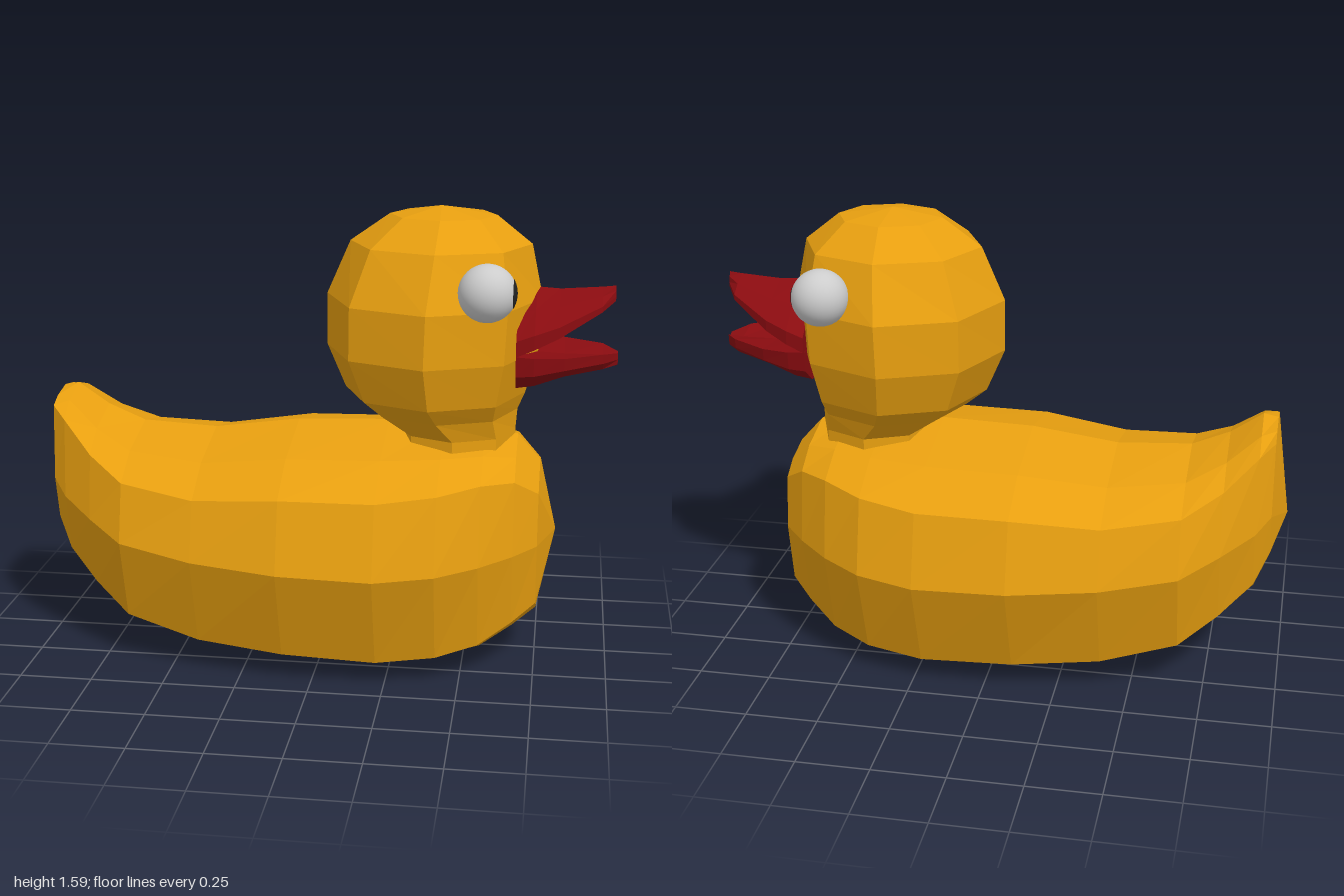
import * as THREE from 'three';

const yellow = new THREE.MeshStandardMaterial({ color: 0xeaa110 });
yellow.name = 'duck yellow';
const red = new THREE.MeshStandardMaterial({ color: 0x8a0c10 });
red.name = 'beak red';
const white = new THREE.MeshStandardMaterial({ color: 0xcccccc });
white.name = 'eye white';
const black = new THREE.MeshStandardMaterial({ color: 0x222222 });
black.name = 'pupil black';

// Faceted skin over closed rings of points, with both ends closed
function loft(rings) {
  const pos = [];
  const tri = (a, b, c) => {
    const area = b.clone().sub(a).cross(c.clone().sub(a)).length();
    if (area > 1e-6) pos.push(...a.toArray(), ...b.toArray(), ...c.toArray());
  };
  const centre = (ring) => ring.reduce((s, p) => s.add(p), new THREE.Vector3()).divideScalar(ring.length);
  const n = rings[0].length;
  const first = rings[0], last = rings[rings.length - 1];
  const c0 = centre(first), c1 = centre(last);
  for (let j = 0; j < n; j++) {
    const k = (j + 1) % n;
    for (let i = 0; i < rings.length - 1; i++) {
      const a = rings[i], b = rings[i + 1];
      tri(a[j], b[j], b[k]);
      tri(a[j], b[k], a[k]);
    }
    tri(c0, first[j], first[k]);
    tri(c1, last[k], last[j]);
  }
  const geo = new THREE.BufferGeometry();
  geo.setAttribute('position', new THREE.Float32BufferAttribute(pos, 3));
  geo.computeVertexNormals();
  return geo;
}

// Ring across x from a half outline [z, y], bottom to top, mirrored in z
function section(x, half) {
  const right = half.slice(1, -1).reverse().map(([z, y]) => [-z, y]);
  return [...half, ...right].map(([z, y]) => new THREE.Vector3(x, y, z));
}

function add(parent, name, geometry, material) {
  const mesh = new THREE.Mesh(geometry, material);
  mesh.name = name;
  parent.add(mesh);
  return mesh;
}

export function createModel() {
  const duck = new THREE.Group();
  duck.name = 'duck';

  // Body: x, bottom, top, half width, height of widest point, shoulder height
  const bodyRings = [
    [-1.0, 0.57, 0.57, 0, 0.57, 0.57],
    [-0.95, 0.43, 0.92, 0.17, 0.62, 0.88],
    [-0.90, 0.31, 0.93, 0.22, 0.57, 0.84],
    [-0.79, 0.20, 0.855, 0.31, 0.52, 0.74],
    [-0.66, 0.105, 0.80, 0.41, 0.47, 0.67],
    [-0.40, 0.04, 0.785, 0.485, 0.44, 0.64],
    [-0.10, 0.02, 0.825, 0.545, 0.43, 0.67],
    [0.22, 0.005, 0.835, 0.54, 0.42, 0.67],
    [0.42, 0.02, 0.83, 0.49, 0.43, 0.69],
    [0.56, 0.05, 0.82, 0.40, 0.44, 0.71],
    [0.67, 0.12, 0.80, 0.30, 0.45, 0.70],
    [0.75, 0.18, 0.71, 0.21, 0.46, 0.64],
    [0.81, 0.46, 0.46, 0, 0.46, 0.46],
  ].map(([x, b, t, w, m, s]) => section(x, [
    [0, b], [w * 0.42, b + (m - b) * 0.05], [w * 0.77, b + (m - b) * 0.2], [w, m],
    [w * 0.88, s], [w * 0.56, s + (t - s) * 0.6], [0, t],
  ]));
  add(duck, 'body', loft(bodyRings), yellow);

  // Neck and head: height, back x, front x, half width
  const headRings = [
    [0.74, 0.25, 0.66, 0.225],
    [0.82, 0.25, 0.66, 0.225],
    [0.89, 0.14, 0.665, 0.27],
    [0.95, 0.065, 0.69, 0.325],
    [1.10, 0, 0.73, 0.375],
    [1.28, 0, 0.74, 0.375],
    [1.465, 0.08, 0.70, 0.285],
    [1.56, 0.215, 0.58, 0.165],
    [1.59, 0.39, 0.39, 0],
  ].map(([y, back, front, w]) => Array.from({ length: 8 }, (_, k) => {
    const a = (k * Math.PI) / 4;
    return new THREE.Vector3((front + back) / 2 + Math.cos(a) * (front - back) / 2, y, Math.sin(a) * w);
  }));
  add(duck, 'head', loft(headRings), yellow);

  // Upper beak: x, half width, mouth edge, top
  const beak = new THREE.Group();
  beak.name = 'beak';
  duck.add(beak);
  const upper = [
    [0.66, 0.22, 1.12, 1.31],
    [0.72, 0.215, 1.145, 1.32],
    [0.80, 0.185, 1.18, 1.315],
    [0.94, 0.095, 1.255, 1.325],
    [0.985, 0.015, 1.28, 1.33],
  ].map(([x, w, e, t]) => section(x, [
    [0, e], [w, e], [w, e + (t - e) * 0.28], [w * 0.6, e + (t - e) * 0.68], [0, t],
  ]));
  add(beak, 'upperBeak', loft(upper), red);

  // Lower beak: x, half width, bottom, mouth edge
  const lower = [
    [0.66, 0.215, 0.98, 1.12],
    [0.72, 0.21, 0.99, 1.115],
    [0.82, 0.175, 1.025, 1.11],
    [0.95, 0.09, 1.045, 1.11],
    [1.0, 0.015, 1.055, 1.10],
  ].map(([x, w, b, e]) => section(x, [
    [0, b], [w * 0.6, b + (e - b) * 0.1], [w * 0.97, b + (e - b) * 0.5], [w, e], [0, e - 0.02],
  ]));
  add(beak, 'lowerBeak', loft(lower), red);

  // Eyes with forward pupils
  for (const side of [1, -1]) {
    const eye = new THREE.Group();
    eye.name = side > 0 ? 'leftEye' : 'rightEye';
    eye.position.set(0.565, 1.35, 0.307 * side);
    add(eye, 'eyeball', new THREE.SphereGeometry(0.096, 32, 20), white);
    const cap = new THREE.SphereGeometry(0.0975, 24, 6, 0, Math.PI * 2, 0, 0.52);
    add(eye, 'pupil', cap.rotateZ(-Math.PI / 2), black);
    duck.add(eye);
  }
  return duck;
}
